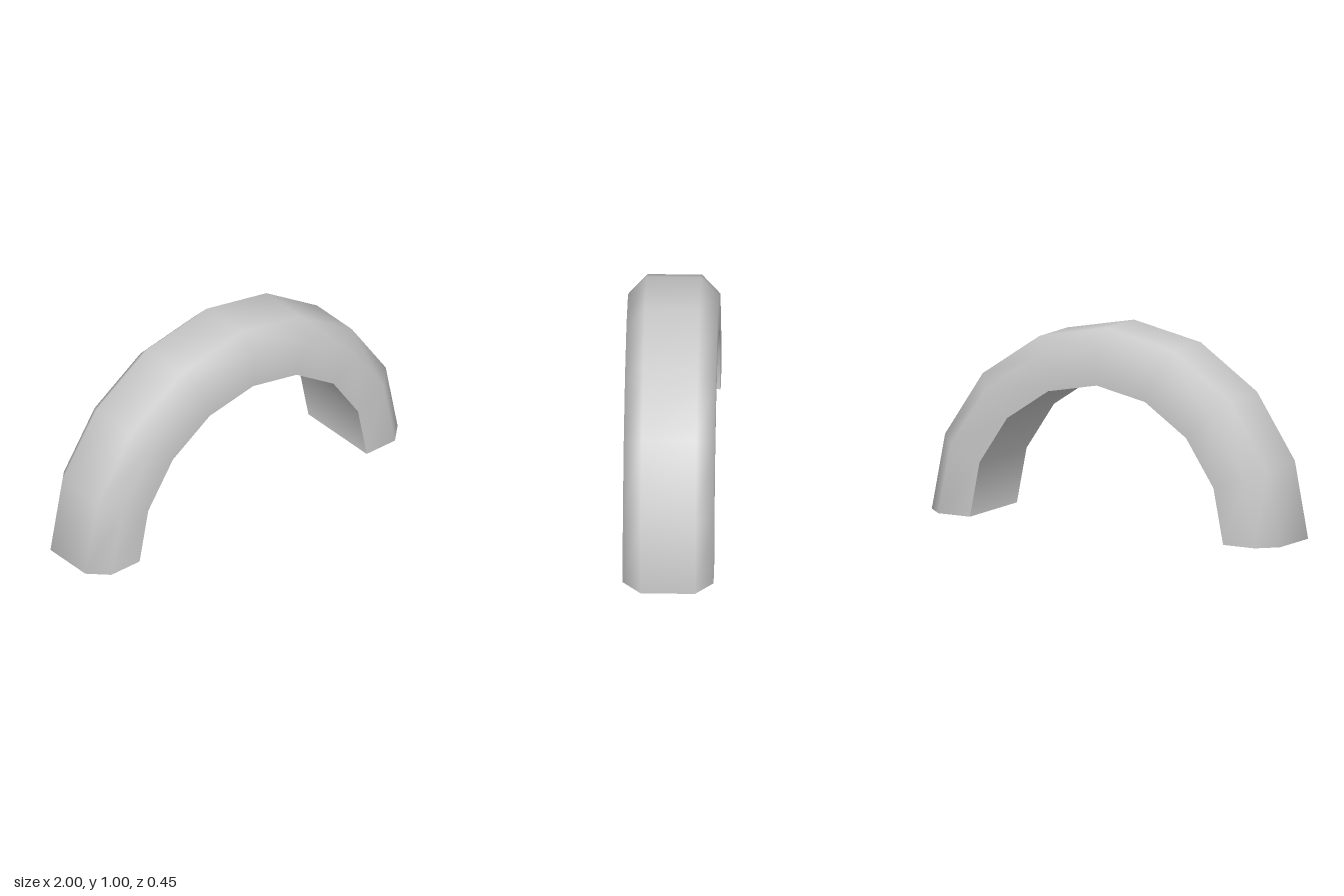
import * as THREE from 'three';

const INNER = 0.727, SHOULDER = 0.908, OUTER = 1;
const HALF_DEPTH = 0.224, HALF_CROWN = 0.134;
const SEGMENTS = 8;

// Chamfered cross-section as (radius, depth), from the back inner edge round to the front one
const PROFILE = [
  [INNER, -HALF_DEPTH], [SHOULDER, -HALF_DEPTH], [OUTER, -HALF_CROWN],
  [OUTER, HALF_CROWN], [SHOULDER, HALF_DEPTH], [INNER, HALF_DEPTH],
].map(([r, z]) => new THREE.Vector2(r, z));

// Sweep a profile over the upper half circle around the z axis
function sweep(points) {
  return new THREE.LatheGeometry(points, SEGMENTS, Math.PI / 2, Math.PI).rotateX(Math.PI / 2);
}

export function createModel() {
  const group = new THREE.Group();
  group.name = 'arch';
  const material = new THREE.MeshStandardMaterial({ color: 0xcccccc });
  const add = (name, geometry) => {
    const mesh = new THREE.Mesh(geometry, material);
    mesh.name = name;
    group.add(mesh);
  };

  // Smooth outer shell: sides, chamfers and crown
  add('outerShell', sweep(PROFILE));

  // Flat-bottomed inner surface, sharp against the sides
  add('innerSurface', sweep([PROFILE[5], PROFILE[0]]));

  // Flat feet facing down
  for (const [name, side] of [['leftFoot', 1], ['rightFoot', -1]]) {
    const outline = PROFILE.map((p) => new THREE.Vector2(p.x * side, p.y));
    add(name, new THREE.ShapeGeometry(new THREE.Shape(outline)).rotateX(Math.PI / 2));
  }
  return group;
}
